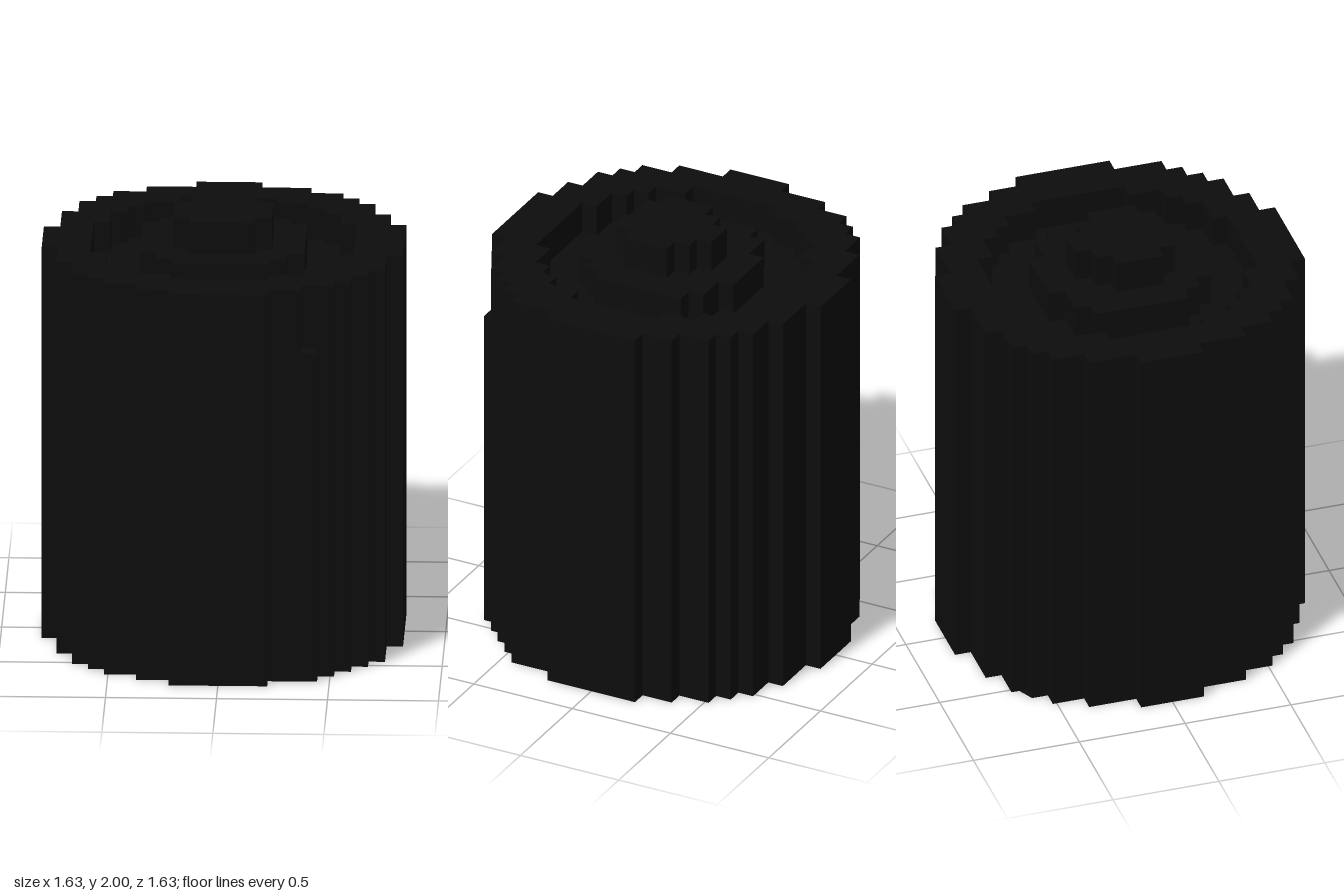
import * as THREE from 'three';

const U = 2 / 27; // one grid cell

// Stepped outline from rows [left, right, rowCount], listed from back (-z) to front
function outline(rows) {
  const left = [], right = [];
  let z = -rows.reduce((n, r) => n + r[2], 0) / 2;
  for (const [l, r, n] of rows) {
    left.push([l, z], [l, z + n]);
    right.push([r, z], [r, z + n]);
    z += n;
  }
  return [...right, ...left.reverse()].map(([x, y]) => new THREE.Vector2(x * U, y * U));
}

const DRUM = [
  [-2, 2, 1], [-5, 5, 1], [-7, 7, 1], [-8, 8, 1], [-9, 9, 2], [-10, 10, 2], [-10, 11, 1],
  [-11, 11, 4], [-10, 11, 1], [-10, 10, 2], [-9, 10, 1], [-9, 9, 1], [-8, 8, 1],
  [-7, 7, 1], [-5, 5, 1], [-3, 3, 1],
];
const GROOVE = [
  [-3, 3, 1], [-5, 5, 1], [-6, 6, 1], [-7, 7, 2], [-8, 8, 6],
  [-7, 7, 2], [-6, 6, 1], [-5, 5, 1], [-3, 3, 1],
];
const HUB = [[-2, 2, 1], [-4, 4, 1], [-5, 5, 6], [-4, 4, 1], [-3, 3, 1]];
const KNOB = [[-1, 1, 1], [-2, 2, 1], [-3, 3, 3], [-2, 2, 1]];

export function createModel() {
  const group = new THREE.Group();
  const material = new THREE.MeshStandardMaterial({ color: 0x0d0d0d, flatShading: true });

  const add = (name, geometry, mat = material) => {
    const mesh = new THREE.Mesh(geometry, mat);
    mesh.name = name;
    group.add(mesh);
  };

  // Upright slab between two heights, in cells
  const slab = (name, rows, y0, y1, holeRows) => {
    const shape = new THREE.Shape(outline(rows));
    if (holeRows) shape.holes.push(new THREE.Path(outline(holeRows)));
    const geometry = new THREE.ExtrudeGeometry(shape, { depth: (y1 - y0) * U, bevelEnabled: false });
    geometry.rotateX(Math.PI / 2).translate(0, y1 * U, 0);
    add(name, geometry);
  };

  slab('drum', DRUM, 0, 23);
  slab('rim', DRUM, 23, 25, GROOVE);
  slab('hub', HUB, 23, 25);
  slab('knob', KNOB, 25, 27);

  // Shorter column standing against the front left of the drum
  const column = new THREE.BoxGeometry(U, 21 * U, U);
  column.translate(5.5 * U, 10.5 * U, 9.5 * U);
  add('sideColumn', column);

  // Small flat sliver at the foot, back right
  const sliver = new THREE.ShapeGeometry(new THREE.Shape(
    [[-8, -8], [-7, -8.5], [-7, -8]].map(([x, z]) => new THREE.Vector2(x * U, z * U))));
  sliver.rotateX(Math.PI / 2);
  const thin = material.clone();
  thin.side = THREE.DoubleSide;
  add('footSliver', sliver, thin);

  return group;
}
